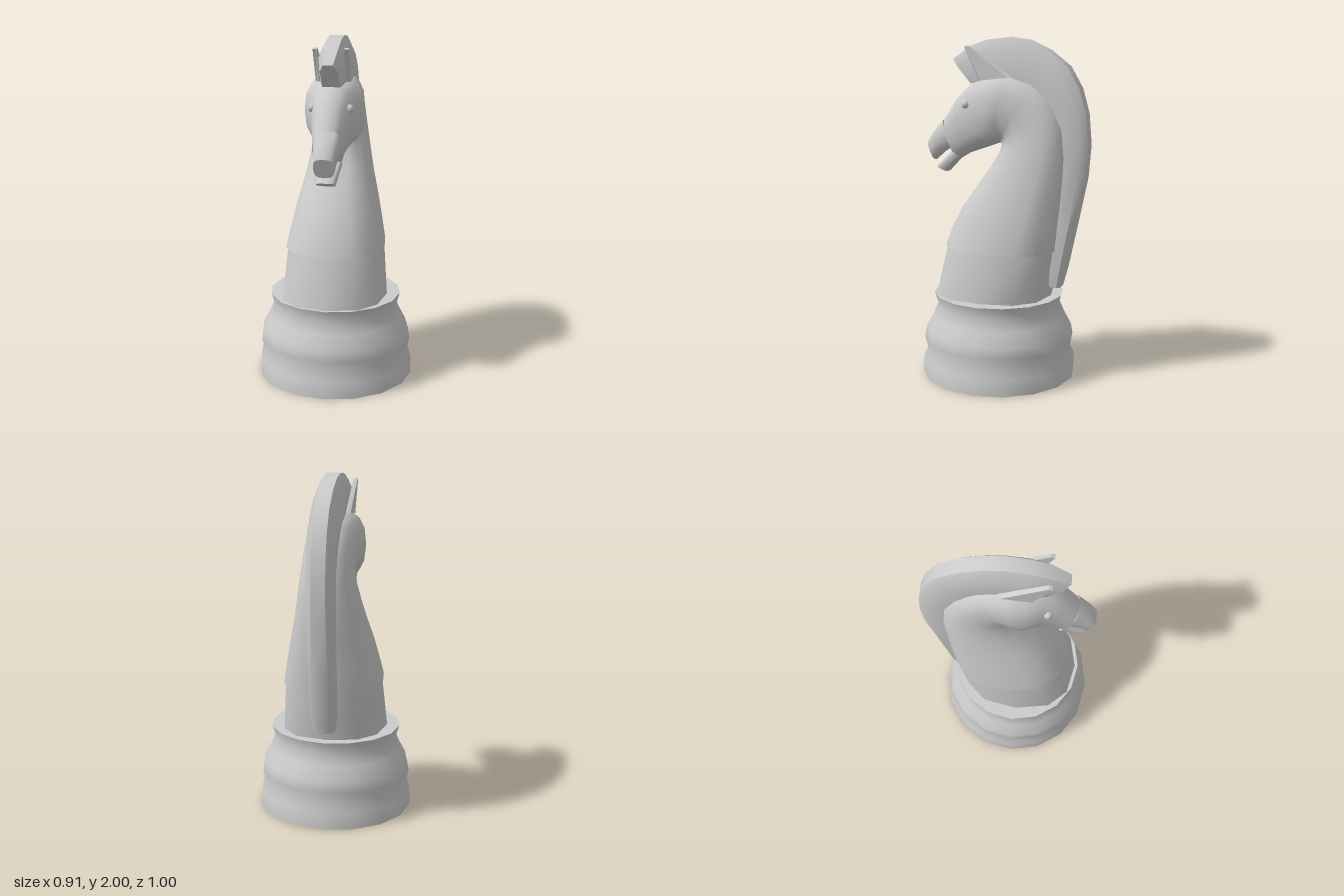
import * as THREE from 'three';
import { toCreasedNormals } from 'three/addons/utils/BufferGeometryUtils.js';

const material = new THREE.MeshStandardMaterial({ color: 0xcccccc });

// Rounded unit ring: [side, front/back] pairs
function roundRing(sides, power) {
  const bend = (v) => Math.sign(v) * Math.pow(Math.abs(v), power);
  return Array.from({ length: sides }, (_, i) => {
    const t = (i / sides) * Math.PI * 2;
    return [bend(Math.sin(t)), bend(Math.cos(t))];
  });
}

// Capped loft; each section is [frontZ, frontY, backZ, backY, halfWidth]
function loft(sections, ring, crease = 0.75) {
  const n = ring.length, pos = [], idx = [];
  for (const [fz, fy, bz, by, w] of sections) {
    for (const [s, c] of ring) {
      pos.push(s * w, (fy + by) / 2 + (c * (fy - by)) / 2, (fz + bz) / 2 + (c * (fz - bz)) / 2);
    }
  }
  const last = sections.length - 1;
  for (let i = 0; i < last; i++) {
    for (let j = 0; j < n; j++) {
      const a = i * n + j, b = i * n + ((j + 1) % n);
      idx.push(a, b, b + n, a, b + n, a + n);
    }
  }
  for (const k of [0, last]) {
    const [fz, fy, bz, by] = sections[k];
    const mid = pos.length / 3;
    pos.push(0, (fy + by) / 2, (fz + bz) / 2);
    for (let j = 0; j < n; j++) {
      const a = k * n + j, b = k * n + ((j + 1) % n);
      if (k === 0) idx.push(mid, b, a);
      else idx.push(mid, a, b);
    }
  }
  const g = new THREE.BufferGeometry();
  g.setAttribute('position', new THREE.Float32BufferAttribute(pos, 3));
  g.setIndex(idx);
  return toCreasedNormals(g, crease);
}

export function createModel() {
  const model = new THREE.Group();
  const add = (name, geometry) => {
    const mesh = new THREE.Mesh(geometry, material);
    mesh.name = name;
    model.add(mesh);
    return mesh;
  };

  // Turned base
  const profile = [
    [0, 0], [0.455, 0], [0.455, 0.1], [0.43, 0.15], [0.447, 0.22], [0.437, 0.28],
    [0.395, 0.36], [0.365, 0.43], [0.385, 0.5], [0, 0.5],
  ].map(([r, y]) => new THREE.Vector2(r, y));
  add('base', toCreasedNormals(new THREE.LatheGeometry(profile, 16), 0.9)).position.z = 0.045;

  // Pedestal below the neck
  add('chest', loft([
    [0.41, 0.5, -0.28, 0.5, 0.31],
    [0.338, 0.81, -0.325, 0.79, 0.284],
  ], roundRing(12, 0.8)));

  // Neck bending over at the throat into the head
  add('neckAndHead', loft([
    [0.35, 0.79, -0.33, 0.785, 0.29],
    [0.31, 0.9, -0.345, 0.92, 0.265],
    [0.25, 1.02, -0.36, 1.05, 0.238],
    [0.16, 1.15, -0.372, 1.18, 0.205],
    [0.08, 1.26, -0.38, 1.33, 0.178],
    [0.03, 1.34, -0.365, 1.5, 0.155],
    [0.012, 1.385, -0.3, 1.64, 0.145],
    [0.015, 1.395, -0.18, 1.75, 0.145],
    [0.03, 1.395, -0.02, 1.8, 0.165],
    [0.07, 1.38, 0.09, 1.785, 0.172],
    [0.14, 1.355, 0.2, 1.74, 0.125],
    [0.22, 1.325, 0.29, 1.65, 0.1],
    [0.285, 1.285, 0.385, 1.51, 0.084],
  ], roundRing(16, 0.8), 0.9));

  // Upper muzzle and lower jaw with the open mouth between
  add('muzzle', loft([
    [0.31, 1.37, 0.375, 1.523, 0.082],
    [0.385, 1.32, 0.445, 1.445, 0.066],
    [0.435, 1.275, 0.48, 1.387, 0.058],
  ], roundRing(12, 0.65)));
  add('lowerJaw', loft([
    [0.275, 1.3, 0.31, 1.35, 0.078],
    [0.355, 1.21, 0.425, 1.242, 0.055],
  ], roundRing(12, 0.65)));

  // Crest-shaped mane from the tail tip up to the forelock, chamfered outside
  const maneRing = [[-1, 1], [1, 1], [1, -0.4], [0.55, -1], [-0.55, -1], [-1, -0.4]];
  add('mane', loft([
    [-0.285, 0.565, -0.345, 0.56, 0.06],
    [-0.29, 0.66, -0.375, 0.68, 0.075],
    [-0.33, 0.92, -0.43, 0.94, 0.075],
    [-0.35, 1.19, -0.485, 1.21, 0.075],
    [-0.355, 1.37, -0.5, 1.4, 0.075],
    [-0.335, 1.51, -0.485, 1.58, 0.075],
    [-0.29, 1.61, -0.445, 1.72, 0.075],
    [-0.23, 1.69, -0.375, 1.84, 0.075],
    [-0.17, 1.74, -0.26, 1.93, 0.075],
    [-0.1, 1.76, -0.14, 1.985, 0.075],
    [-0.02, 1.77, -0.02, 2.0, 0.075],
    [0.06, 1.77, 0.1, 1.985, 0.075],
    [0.12, 1.75, 0.2, 1.95, 0.075],
    [0.2, 1.735, 0.315, 1.87, 0.05],
  ], maneRing));

  // Ears and eyes on both sides
  const earRing = [[-1, 1], [1, 0.8], [1, -0.8], [-1, -1]];
  for (const [label, side] of [['left', 1], ['right', -1]]) {
    const ear = add(label + 'Ear', loft([
      [0.14, 1.755, -0.06, 1.78, 0.012],
      [0.222, 1.945, 0.2, 1.952, 0.012],
    ], side > 0 ? earRing : earRing.map(([s, c]) => [-s, c]).reverse()));
    ear.position.x = side * 0.088;

    const eye = add(label + 'Eye', new THREE.SphereGeometry(0.025, 12, 8));
    eye.position.set(side * 0.105, 1.62, 0.21);
  }

  return model;
}
